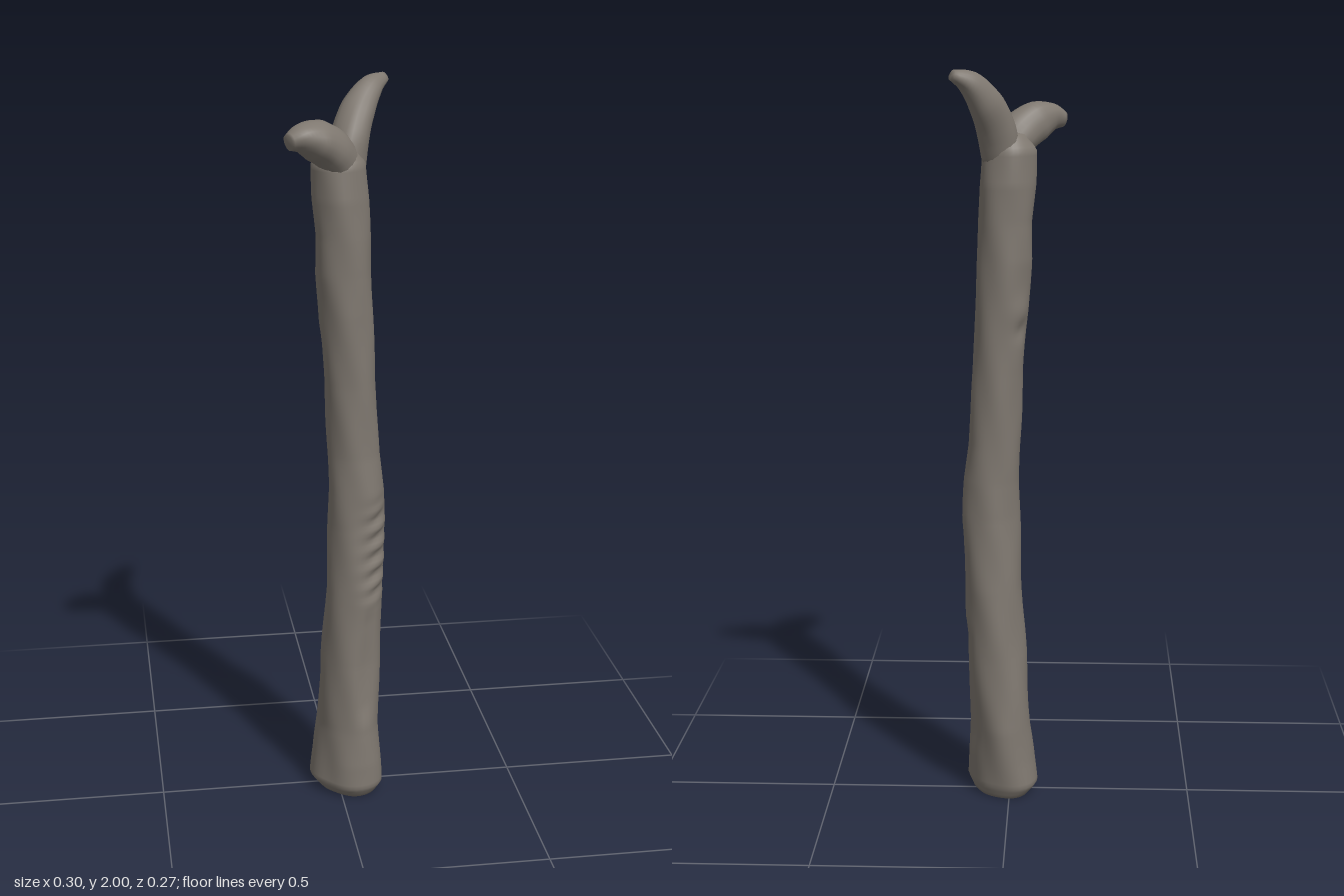
import * as THREE from 'three';

// Closed skin through rows of points, each end drawn together at a pole.
function loft(rows, n, point, poleA, poleB) {
  const pos = [], idx = [];
  for (let i = 0; i < rows; i++)
    for (let j = 0; j < n; j++) pos.push(...point(i, (j / n) * Math.PI * 2).toArray());
  pos.push(...poleA.toArray(), ...poleB.toArray());
  const a = rows * n, b = a + 1, last = (rows - 1) * n;
  for (let j = 0; j < n; j++) {
    const k = (j + 1) % n;
    for (let i = 0; i < rows - 1; i++) {
      const p = i * n + j, q = i * n + k;
      idx.push(p, p + n, q, q, p + n, q + n);
    }
    idx.push(a, j, k, b, last + k, last + j);
  }
  const g = new THREE.BufferGeometry();
  g.setAttribute('position', new THREE.Float32BufferAttribute(pos, 3));
  g.setIndex(idx);
  g.computeVertexNormals();
  return g;
}

// Soft bump around a value, and the same for angles.
const bell = (v, c, w) => Math.exp(-(((v - c) / w) ** 2));
const angleBell = (t, c, w) => bell(Math.atan2(Math.sin(t - c), Math.cos(t - c)), 0, w);
// Flat-topped window between two heights.
const span = (y, a, b, s = 0.04) =>
  THREE.MathUtils.smoothstep(y, a - s, a + s) * (1 - THREE.MathUtils.smoothstep(y, b - s, b + s));

// Trunk outline: height, min x, max x, min z, max z.
const OUTLINE = [
  [0.0, -0.05, 0.1, -0.075, 0.1],
  [0.03, -0.075, 0.115, -0.09, 0.122],
  [0.1, -0.065, 0.113, -0.092, 0.12],
  [0.2, -0.055, 0.11, -0.095, 0.11],
  [0.4, -0.047, 0.118, -0.086, 0.1],
  [0.6, -0.033, 0.124, -0.08, 0.098],
  [0.8, -0.027, 0.13, -0.068, 0.087],
  [0.9, -0.025, 0.125, -0.066, 0.085],
  [1.0, -0.027, 0.112, -0.065, 0.08],
  [1.2, -0.035, 0.1, -0.064, 0.08],
  [1.4, -0.05, 0.092, -0.064, 0.085],
  [1.5, -0.06, 0.088, -0.065, 0.085],
  [1.6, -0.06, 0.085, -0.065, 0.087],
  [1.7, -0.068, 0.08, -0.066, 0.087],
  [1.79, -0.07, 0.072, -0.058, 0.08],
  [1.83, -0.04, 0.05, -0.035, 0.05],
];

function outlineAt(y) {
  let i = 0;
  while (i < OUTLINE.length - 2 && y > OUTLINE[i + 1][0]) i++;
  const a = OUTLINE[i], b = OUTLINE[i + 1], t = (y - a[0]) / (b[0] - a[0]);
  return a.map((v, k) => v + (b[k] - v) * t);
}

function trunkGeometry() {
  const rows = 170, top = 1.83;
  return loft(rows, 36, (i, t) => {
    const y = (i / (rows - 1)) * top;
    const [, x0, x1, z0, z1] = outlineAt(y);
    // The foot is wider along one diagonal.
    let r = 1 + 0.14 * (1 - THREE.MathUtils.smoothstep(y, 0.02, 0.45)) * Math.cos(2 * (t - Math.PI / 4));
    // Gentle unevenness of the bark.
    r += 0.022 * Math.sin(3 * t + 7 * y) * Math.sin(13 * y + t) + 0.015 * Math.sin(5 * t - 19 * y);
    // Stacked scar ridges.
    r += angleBell(t, 0.8, 0.5) * span(y, 0.6, 0.86) * (0.075 * Math.sin(y * 118 + t * 1.6) - 0.06);
    // Long grooves in the lower trunk.
    r -= 0.16 * angleBell(t, -0.25, 0.22) * span(y, 0.14, 0.48);
    r -= 0.1 * angleBell(t, 1.15, 0.22) * span(y, 0.25, 0.56);
    // Knot hollow with a raised lip.
    r += 0.08 * angleBell(t, 3.85, 0.45) * bell(y, 1.37, 0.04) - 0.12 * angleBell(t, 3.75, 0.3) * bell(y, 1.32, 0.025);
    return new THREE.Vector3(
      (x0 + x1) / 2 + ((x1 - x0) / 2) * r * Math.cos(t), y,
      (z0 + z1) / 2 + ((z1 - z0) / 2) * r * Math.sin(t));
  }, new THREE.Vector3(0.025, 0, 0.012), new THREE.Vector3(0, 1.84, 0.01));
}

// Tapering prong along a curve; stations are [x, y, z, radius].
function prongGeometry(stations) {
  const curve = new THREE.CatmullRomCurve3(stations.map(s => new THREE.Vector3(s[0], s[1], s[2])));
  const rows = 22, side = new THREE.Vector3(0.7, 0, 0.7);
  return loft(rows, 18, (i, t) => {
    const f = i / (rows - 1), s = f * (stations.length - 1);
    const k = Math.min(Math.floor(s), stations.length - 2);
    const radius = THREE.MathUtils.lerp(stations[k][3], stations[k + 1][3], s - k);
    const tangent = curve.getTangent(f);
    const u = new THREE.Vector3().crossVectors(tangent, side).normalize();
    const v = new THREE.Vector3().crossVectors(u, tangent);
    const r = radius * (1 + 0.05 * Math.sin(3 * t + 5 * f));
    return curve.getPoint(f).addScaledVector(u, r * Math.cos(t)).addScaledVector(v, r * Math.sin(t));
  }, curve.getPoint(0), curve.getPoint(1));
}

export function createModel() {
  const wood = new THREE.MeshStandardMaterial({ color: 0x7f7870 });
  wood.name = 'grey wood';
  const model = new THREE.Group();
  model.name = 'forkedStaff';
  const add = (name, geometry) => {
    const mesh = new THREE.Mesh(geometry, wood);
    mesh.name = name;
    model.add(mesh);
  };

  add('trunk', trunkGeometry());

  // Short drooping prong and tall curved prong
  add('shortProng', prongGeometry([
    [0.015, 1.77, 0.015, 0.05],
    [-0.02, 1.825, 0.045, 0.055],
    [-0.065, 1.858, 0.075, 0.053],
    [-0.105, 1.868, 0.098, 0.038],
    [-0.14, 1.862, 0.114, 0.02],
  ]));
  add('tallProng', prongGeometry([
    [0.02, 1.77, 0.0, 0.052],
    [0.035, 1.84, -0.02, 0.052],
    [0.062, 1.91, -0.058, 0.046],
    [0.1, 1.963, -0.094, 0.032],
    [0.141, 1.985, -0.126, 0.014],
  ]));
  return model;
}
